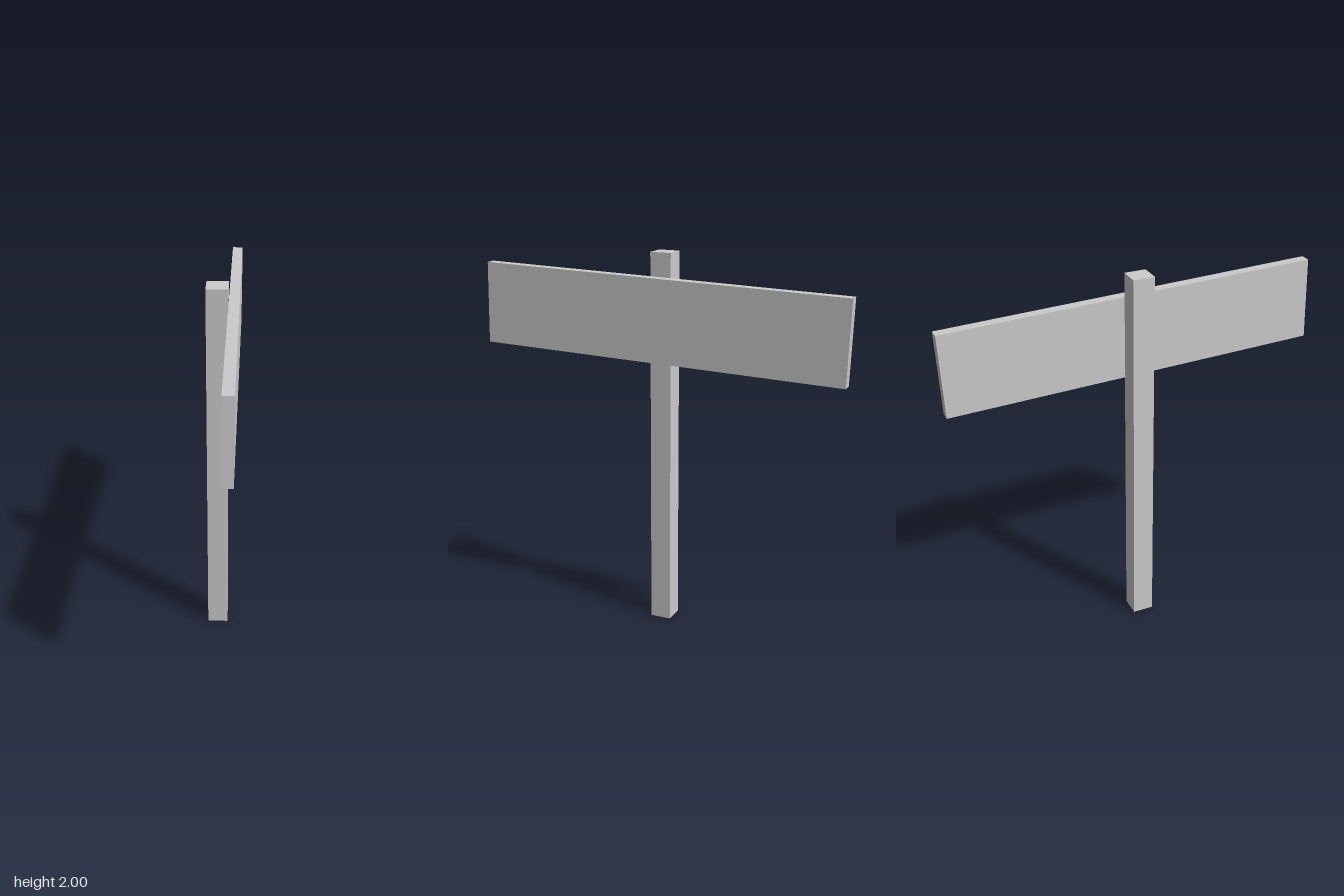
import * as THREE from 'three';

export function createModel() {
  const group = new THREE.Group();
  const material = new THREE.MeshStandardMaterial({ color: 0xcccccc, flatShading: true });

  const addBox = (name, size, position) => {
    const mesh = new THREE.Mesh(new THREE.BoxGeometry(...size), material);
    mesh.name = name;
    mesh.position.set(...position);
    group.add(mesh);
    return mesh;
  };

  // Upright square post
  addBox('post', [0.108, 2, 0.112], [-0.03, 1, 0]);

  // Sign board fixed to the left face of the post, hung slightly askew
  const board = addBox('signBoard', [0.055, 0.432, 1.98], [0.049, 1.661, 0]);
  board.rotation.set(-0.029, 0.003, -0.006);

  return group;
}
